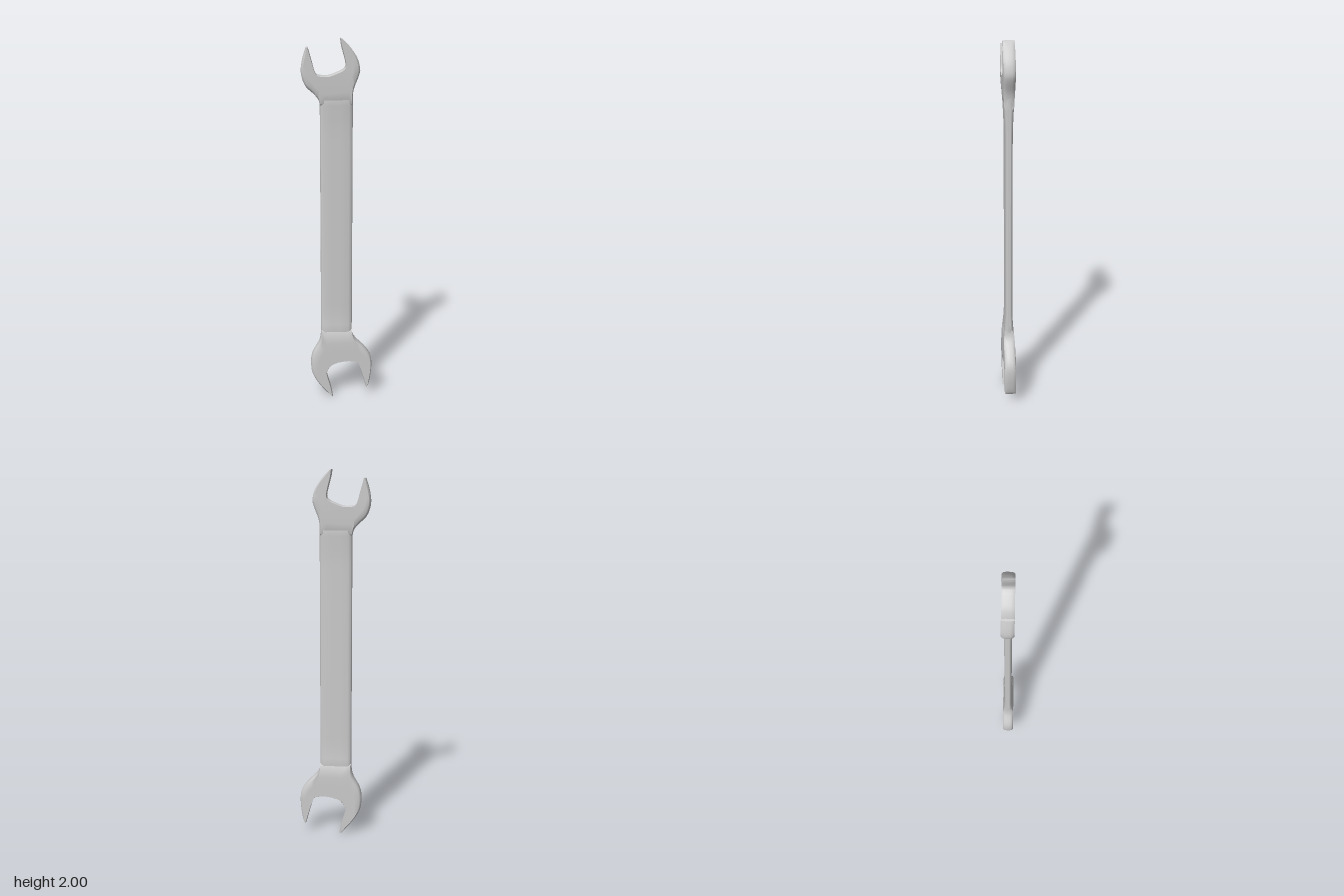
import * as THREE from 'three';
import { toCreasedNormals } from 'three/addons/utils/BufferGeometryUtils.js';

const V2 = (p) => new THREE.Vector2(p[0], p[1]);

// half thickness along the length: thin shank swelling into thick heads
function halfThickness(y) {
  const s = y > 1
    ? THREE.MathUtils.smoothstep(y, 1.5, 1.84)
    : THREE.MathUtils.smoothstep(1 - y, 0.5, 0.68);
  return THREE.MathUtils.lerp(0.019, 0.031, s);
}

// closed section between two edge points, each edge rounded by its own radius
function section(a, b, ra, rb, thin = 1) {
  const len = a.distanceTo(b);
  const r0 = Math.min(ra, len * 0.35), r1 = Math.min(rb, len * 0.35);
  const side = [
    [0, 0.4], [r0 * 0.3, 0.8], [r0, 1],
    [len * 0.4, 1], [len * 0.65, 1],
    [len - r1, 1], [len - r1 * 0.3, 0.8], [len, 0.4],
  ];
  const ring = [...side, ...side.slice().reverse().map(([d, w]) => [d, -w])];
  return ring.map(([d, w]) => {
    const p = a.clone().lerp(b, d / len);
    return new THREE.Vector3(p.x, p.y, w * thin * halfThickness(p.y));
  });
}

// skin a row of sections and close both ends
function loft(name, rings, material) {
  const n = rings[0].length, pos = [];
  const tri = (...pts) => pts.forEach((p) => pos.push(p.x, p.y, p.z));
  for (let i = 0; i < rings.length - 1; i++) {
    for (let j = 0; j < n; j++) {
      const k = (j + 1) % n, A = rings[i], B = rings[i + 1];
      tri(A[j], B[j], B[k]);
      tri(A[j], B[k], A[k]);
    }
  }
  const cap = (ring, flip) => {
    const c = ring.reduce((s, p) => s.add(p), new THREE.Vector3()).divideScalar(n);
    ring.forEach((p, j) => {
      const q = ring[(j + 1) % n];
      if (flip) tri(c, q, p); else tri(c, p, q);
    });
  };
  cap(rings[0], false);
  cap(rings[rings.length - 1], true);
  const g = new THREE.BufferGeometry();
  g.setAttribute('position', new THREE.Float32BufferAttribute(pos, 3));
  const mesh = new THREE.Mesh(toCreasedNormals(g, 0.75), material);
  mesh.name = name;
  return mesh;
}

// open jaw: matching outer and inner curves for first arm, throat, second arm
function jaw(name, parts, material) {
  const rings = [];
  parts.forEach(({ outer, inner, steps }, i) => {
    const o = new THREE.SplineCurve(outer.map(V2)).getSpacedPoints(steps);
    const q = new THREE.SplineCurve(inner.map(V2)).getSpacedPoints(steps);
    for (let s = i ? 1 : 0; s <= steps; s++) rings.push(section(o[s], q[s], 0.014, 0.004));
  });
  return loft(name, rings, material);
}

export function createModel() {
  const group = new THREE.Group();
  group.name = 'openEndedWrench';
  const steel = new THREE.MeshStandardMaterial({ color: 0xcccccc });

  // shank, its ends thinned so they sink into the heads
  const rows = [[0.35, 0.6], [0.4, 1]];
  for (let y = 0.44; y < 1.63; y += 0.06) rows.push([y, 1]);
  rows.push([1.66, 1], [1.69, 1], [1.74, 0.6]);
  const shank = rows.map(([y, thin]) =>
    section(new THREE.Vector2(0.072, y), new THREE.Vector2(-0.098, y), 0.02, 0.02, thin));
  group.add(loft('shank', shank, steel));

  // upper head, opening tilted to the model's right
  group.add(jaw('upperHead', [
    {
      steps: 24,
      outer: [[-0.168, 1.955], [-0.187, 1.89], [-0.193, 1.825], [-0.172, 1.763],
        [-0.13, 1.722], [-0.105, 1.69], [-0.098, 1.66]],
      inner: [[-0.157, 1.957], [-0.137, 1.885], [-0.119, 1.826], [-0.087, 1.814]],
    },
    {
      steps: 8,
      outer: [[-0.098, 1.66], [0.071, 1.66]],
      inner: [[-0.087, 1.814], [-0.05, 1.815], [0.008, 1.837]],
    },
    {
      steps: 24,
      outer: [[0.071, 1.66], [0.07, 1.7], [0.078, 1.75], [0.101, 1.81], [0.108, 1.847],
        [0.092, 1.905], [0.052, 1.963], [0.018, 1.996]],
      inner: [[0.008, 1.837], [0.029, 1.852], [0.034, 1.878], [0.012, 1.963], [0.007, 2]],
    },
  ], steel));

  // lower head, opening tilted to the model's left
  group.add(jaw('lowerHead', [
    {
      steps: 24,
      outer: [[0.164, 0.062], [0.175, 0.1], [0.184, 0.177], [0.178, 0.24], [0.145, 0.294],
        [0.094, 0.346], [0.076, 0.378], [0.071, 0.41]],
      inner: [[0.153, 0.054], [0.135, 0.12], [0.114, 0.19], [0.1, 0.208], [0.085, 0.212]],
    },
    {
      steps: 8,
      outer: [[0.071, 0.41], [-0.098, 0.41]],
      inner: [[0.085, 0.212], [0.045, 0.215], [-0.003, 0.208]],
    },
    {
      steps: 24,
      outer: [[-0.098, 0.41], [-0.1, 0.375], [-0.11, 0.335], [-0.146, 0.267], [-0.156, 0.203],
        [-0.145, 0.135], [-0.098, 0.061], [-0.047, 0.006]],
      inner: [[-0.003, 0.208], [-0.042, 0.19], [-0.066, 0.155], [-0.064, 0.125],
        [-0.046, 0.061], [-0.034, 0]],
    },
  ], steel));

  return group;
}
